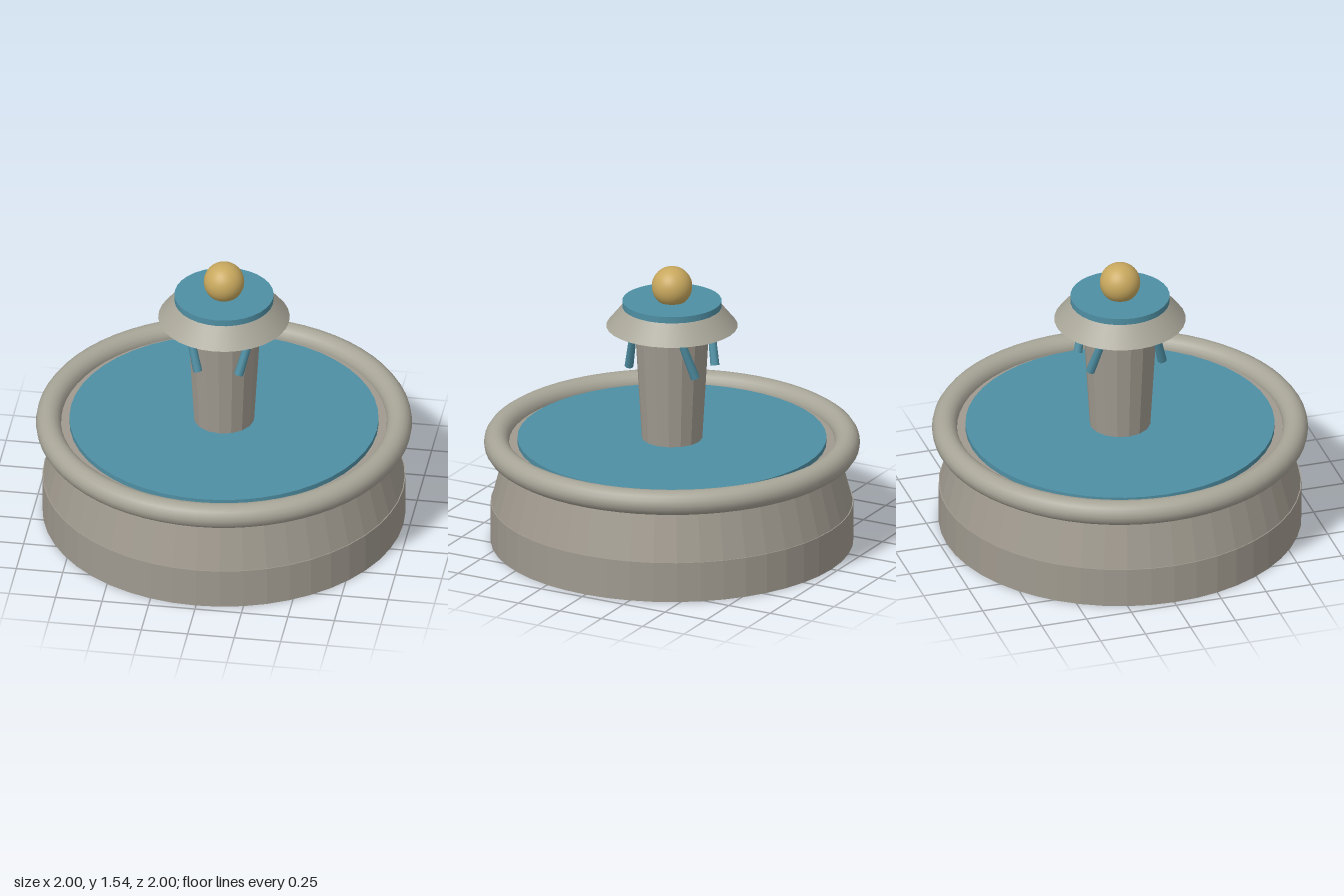
import * as THREE from 'three';

const material = (name, color, flatShading = false) => {
  const m = new THREE.MeshStandardMaterial({ color, flatShading });
  m.name = name;
  return m;
};

export function createModel() {
  const group = new THREE.Group();
  group.name = 'fountain';

  const stone = material('stone', 0xa09a8f, true);
  const trim = material('trimStone', 0xa8a598);
  const water = material('water', 0x4f8fa3);
  const gold = material('gold', 0xc8a85e);

  const add = (name, geometry, mat, y = 0) => {
    const mesh = new THREE.Mesh(geometry, mat);
    mesh.name = name;
    mesh.position.y = y;
    group.add(mesh);
    return mesh;
  };
  // Round part standing between two heights
  const drum = (name, rBottom, rTop, y0, y1, sides, mat) =>
    add(name, new THREE.CylinderGeometry(rTop, rBottom, y1 - y0, sides), mat, (y0 + y1) / 2);

  // Lower basin
  drum('base', 0.965, 0.965, 0, 0.22, 48, stone);
  drum('basinWall', 0.96, 0.872, 0.22, 0.553, 48, stone);
  const rim = new THREE.TorusGeometry(0.933, 0.067, 16, 64);
  rim.rotateX(Math.PI / 2);
  add('basinRim', rim, trim, 0.553);
  drum('basinWater', 0.822, 0.822, 0.54, 0.58, 48, water);

  // Column and upper bowl
  drum('column', 0.16, 0.2, 0.55, 1.23, 16, stone);
  drum('upperBowl', 0.35, 0.255, 1.213, 1.33, 32, trim);
  drum('upperWater', 0.264, 0.264, 1.32, 1.355, 32, water);

  // Four slanted water jets, mirrored in x and z
  const up = new THREE.Vector3(0, 1, 0);
  for (const sx of [-1, 1]) {
    for (const sz of [-1, 1]) {
      const top = new THREE.Vector3(0.195 * sx, 1.31, 0.115 * sz);
      const bottom = new THREE.Vector3(0.11 * sx, 0.985, 0.2 * sz);
      const axis = top.clone().sub(bottom);
      const jet = add('waterJet', new THREE.CylinderGeometry(0.018, 0.025, axis.length(), 8), water);
      jet.position.copy(top).add(bottom).multiplyScalar(0.5);
      jet.quaternion.setFromUnitVectors(up, axis.normalize());
    }
  }

  // Finial ball
  add('finial', new THREE.SphereGeometry(0.108, 32, 20), gold, 1.434);

  return group;
}
